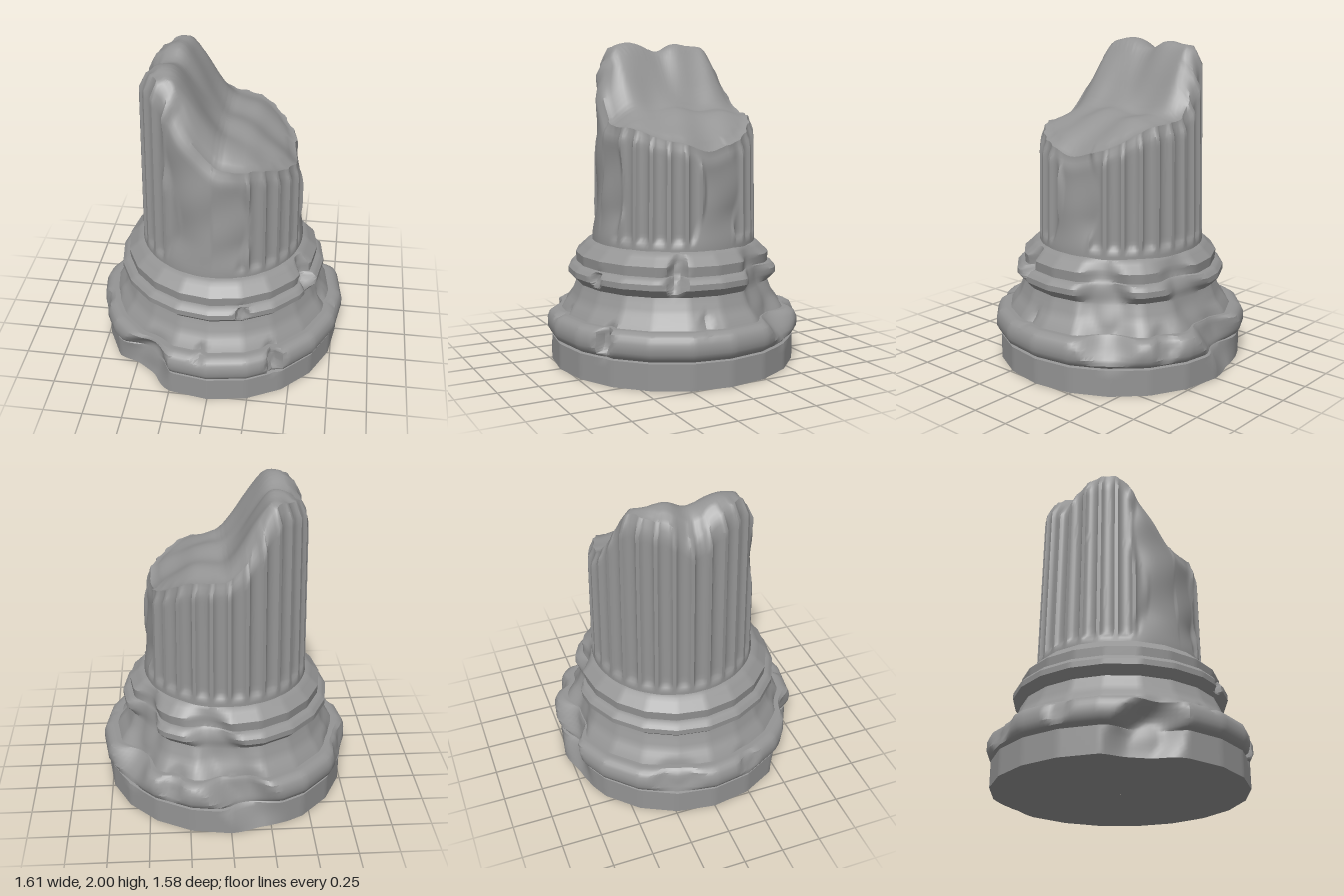
import * as THREE from 'three';
import { toCreasedNormals } from 'three/addons/utils/BufferGeometryUtils.js';

const { smoothstep, lerp, clamp } = THREE.MathUtils;
const DEG = Math.PI / 180;
const FLUTES = 30;

// Signed difference of two angles in degrees (0 = front, 90 = +x)
const angleTo = (a, b) => ((a - b + 540) % 360 + 360) % 360 - 180;
// Irregular but repeatable ripple used for worn stone
const ripple = (a, b) => Math.sin(a * 1.7 + b * 0.6) * 0.5 + Math.sin(a * 0.8 - b * 1.9 + 1.3) * 0.5;

// Piecewise linear lookup in [key, value] pairs
function along(table, k) {
  for (let i = 1; i < table.length; i++) {
    const [k0, v0] = table[i - 1], [k1, v1] = table[i];
    if (k <= k1) return lerp(v0, v1, clamp((k - k0) / (k1 - k0), 0, 1));
  }
  return table[table.length - 1][1];
}

// Closed ring grid: point(angle in degrees, row) gives [radius, y]
function ringSurface(segments, rows, crease, point) {
  const pos = [], index = [];
  for (let j = 0; j <= rows; j++) {
    for (let i = 0; i < segments; i++) {
      const deg = i / segments * 360;
      const [r, y] = point(deg, j);
      pos.push(r * Math.sin(deg * DEG), y, r * Math.cos(deg * DEG));
      if (j === rows) continue;
      const a = j * segments + i, b = j * segments + (i + 1) % segments;
      index.push(a, b, b + segments, a, b + segments, a + segments);
    }
  }
  const geo = new THREE.BufferGeometry();
  geo.setAttribute('position', new THREE.Float32BufferAttribute(pos, 3));
  geo.setIndex(index);
  return toCreasedNormals(geo, crease);
}

// Moulded base: plinth, large torus, sloping neck, small torus, collar
const BASE = [
  [0.001, 0], [0.775, 0], [0.775, 0.16], [0.755, 0.165], [0.785, 0.185], [0.803, 0.22], [0.803, 0.275],
  [0.785, 0.315], [0.75, 0.335], [0.71, 0.335], [0.695, 0.36], [0.65, 0.42], [0.62, 0.495], [0.615, 0.51],
  [0.635, 0.53], [0.663, 0.56], [0.663, 0.595], [0.635, 0.625], [0.61, 0.63], [0.615, 0.69],
  [0.565, 0.735], [0.545, 0.755], [0.5, 0.77],
];

// Broken areas: angle, height, half width (deg), half height, strength, slant (deg per unit y)
const GOUGES = [
  [-36, 0.08, 18, 0.32, 1, 25],
  [123, 0.5, 18, 0.38, 0.9, -12],
  [178, 0.42, 18, 0.6, 0.8, -45],
  [32, 0.26, 5, 0.12, 0.5, 0],
  [18, 0.58, 5, 0.06, 0.5, 0],
  [66, 0.65, 7, 0.15, 0.9, 15],
  [252, 0.28, 14, 0.12, 0.25, 0],
  [80, 0.37, 3, 0.06, 0.3, 0],
  [-4, 0.34, 3, 0.05, 0.25, 0],
  [-72, 0.28, 7, 0.1, 0.2, 0],
  [152, 0.3, 7, 0.12, 0.25, 0],
];

function wornRadius(r, deg, y) {
  const core = 0.71 - 0.26 * y + 0.012 * ripple(deg / 9, y * 14);
  for (const [a, h, w, t, strength, slant] of GOUGES) {
    const d = Math.hypot(angleTo(deg, a + slant * (y - h)) / w, (y - h) / t);
    r = lerp(r, Math.min(r, core), strength * (1 - smoothstep(d, 0.35, 1)));
  }
  return r;
}

function baseGeometry() {
  // Split long profile edges so that the gouges have points to bend
  const rows = [];
  BASE.forEach(([r, y], i) => {
    if (i === 0) return rows.push([r, y]);
    const [r0, y0] = BASE[i - 1];
    const n = i === 1 ? 1 : Math.max(1, Math.ceil(Math.hypot(r - r0, y - y0) / 0.03));
    for (let k = 1; k <= n; k++) rows.push([lerp(r0, r, k / n), lerp(y0, y, k / n)]);
  });
  const side = 360 / 20;
  return ringSurface(180, rows.length - 1, 38 * DEG, (deg, j) => {
    const [r, y] = rows[j];
    if (r < 0.01) return [r, y];
    // Twenty straight sides
    const flat = Math.cos(side / 2 * DEG) / Math.cos(((deg % side) - side / 2) * DEG);
    return [wornRadius(r * flat, deg, y), y];
  });
}

// Height of the broken top
const BREAK = [[-0.5, 1.82], [-0.43, 1.93], [-0.33, 1.97], [-0.25, 1.97], [-0.16, 1.84], [-0.06, 1.67],
  [0.02, 1.57], [0.2, 1.53], [0.35, 1.44], [0.42, 1.38], [0.5, 1.29]];
function breakHeight(x, z) {
  const s = 0.025;
  let y = (along(BREAK, x - s) + along(BREAK, x) + along(BREAK, x + s)) / 3;
  const tall = 1 - smoothstep(x, -0.25, 0.1);
  y -= 0.05 * tall * Math.exp(-(((z + 0.03) / 0.09) ** 2));
  y -= 0.2 * tall * smoothstep(Math.abs(z + 0.02), 0.3, 0.48);
  y -= 0.06 * (1 - tall) * smoothstep(z, 0.2, 0.48);
  return Math.min(2, y + 0.02 * ripple(x * 9, z * 11) + 0.015);
}

// Shaft wall with flutes, worn smooth at the front and on the left
const WORN = [[-6, 30], [95, 17]];
function shaftRadius(deg, y, top) {
  let smooth = 0;
  for (const [a, w] of WORN) {
    const d = Math.abs(angleTo(deg, a + 6 * Math.sin(y * 7))) / w;
    smooth = Math.max(smooth, 1 - smoothstep(d, 0.75, 1.05));
  }
  const phase = (deg / 360 * FLUTES) % 1;
  const hollow = Math.sqrt(Math.max(0, 1 - ((phase - 0.5) / 0.38) ** 2));
  const ends = smoothstep(y, 0.785, 0.84) * (1 - 0.6 * smoothstep(y, top - 0.1, top));
  const flute = 0.026 * hollow * ends * (1 - smooth);
  const wear = smooth * smoothstep(y, 0.77, 1) * (0.028 + 0.012 * ripple(deg / 12, y * 8));
  const rim = lerp(0.025, 0.045, smoothstep(top, 1.4, 1.8)) * smoothstep(y, top - 0.12, top) ** 2;
  return 0.518 - 0.016 * (y - 0.77) - flute - wear - rim;
}

const rimHeight = deg => breakHeight(0.46 * Math.sin(deg * DEG), 0.46 * Math.cos(deg * DEG));

// Fluted wall that rolls over into the broken top
function shaftGeometry() {
  const wall = 30, cap = 18;
  return ringSurface(FLUTES * 10, wall + cap, 48 * DEG, (deg, j) => {
    const top = rimHeight(deg);
    if (j <= wall) {
      // Fixed rows for the rounded flute ends, then even rows up to the break
      const y = j < 6 ? 0.755 + j * 0.018 : lerp(0.845, top, (j - 5) / (wall - 5));
      return [shaftRadius(deg, y, top), y];
    }
    const t = (j - wall) / cap;
    const r = Math.max(0.0005, shaftRadius(deg, top, top) * (1 - t));
    const y = breakHeight(r * Math.sin(deg * DEG), r * Math.cos(deg * DEG));
    return [r, lerp(top, y, smoothstep(t, 0, 0.12))];
  });
}

export function createModel() {
  const group = new THREE.Group();
  group.name = 'brokenColumn';
  const stone = new THREE.MeshStandardMaterial({ color: 0x949494 });
  const add = (name, geometry, z) => {
    const mesh = new THREE.Mesh(geometry, stone);
    mesh.name = name;
    mesh.position.z = z;
    group.add(mesh);
  };
  add('base', baseGeometry(), 0);
  add('flutedShaft', shaftGeometry(), -0.01);
  return group;
}
